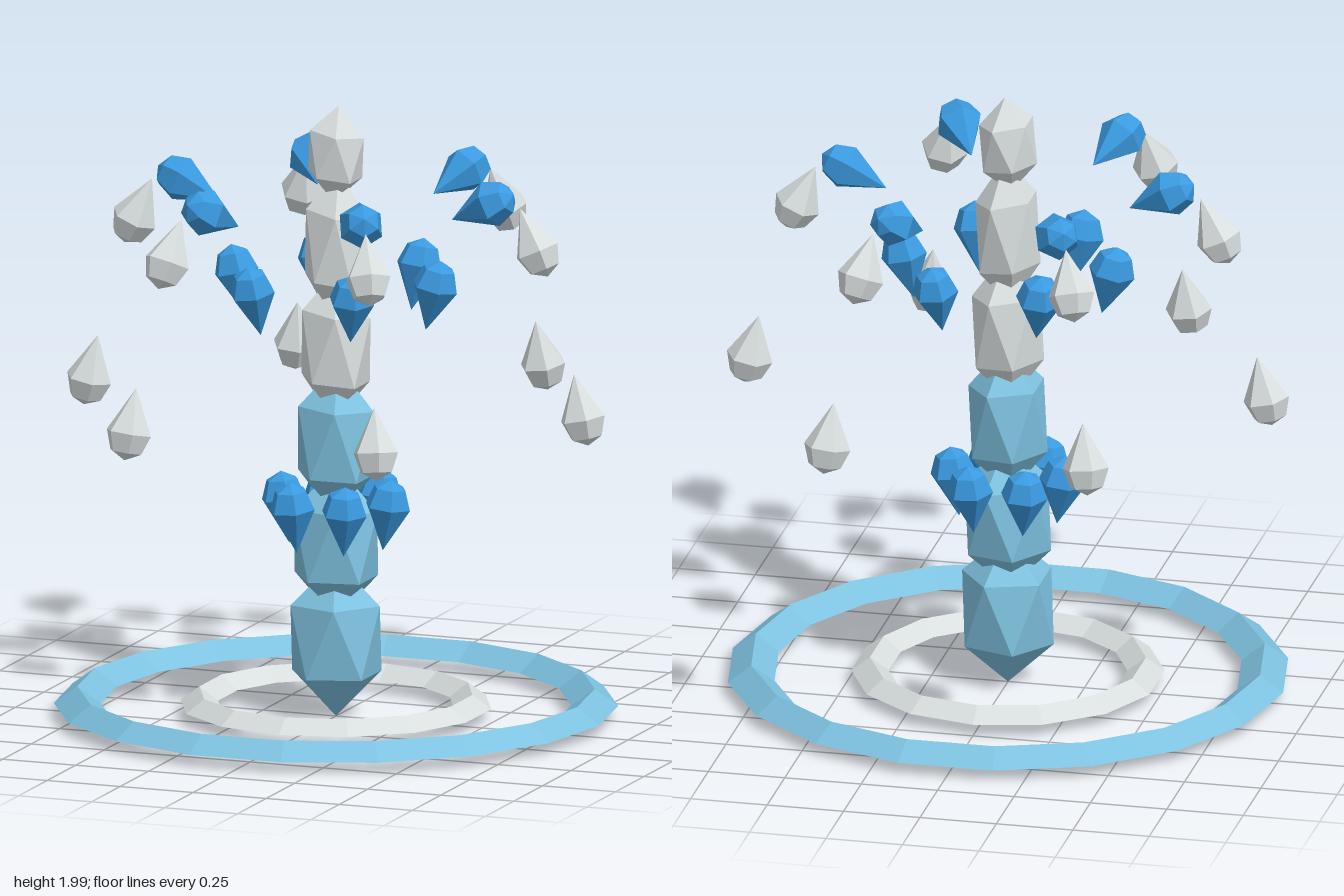
import * as THREE from 'three';

const material = (name, color) => {
  const m = new THREE.MeshStandardMaterial({ color, flatShading: true });
  m.name = name;
  return m;
};

export function createModel() {
  const model = new THREE.Group();
  model.name = 'fountain';
  const water = material('light blue water', 0x7ec2e0);
  const foam = material('pale foam', 0xd8dede);
  const spray = material('bright blue spray', 0x3a9ae0);

  const add = (parent, name, geometry, mat) => {
    const mesh = new THREE.Mesh(geometry, mat);
    mesh.name = name;
    parent.add(mesh);
    return mesh;
  };

  // Ripple rings: triangular ridges with a flat underside
  const ripple = (name, outer, crest, inner, top, sides, start, mat) => {
    const profile = [[outer, 0.045], [crest, top], [inner, 0.045], [outer, 0.045]]
      .map(([x, y]) => new THREE.Vector2(x, y));
    add(model, name, new THREE.LatheGeometry(profile, sides, start), mat);
  };
  ripple('outerRipple', 0.9, 0.825, 0.75, 0.1, 18, Math.PI / 2, water);
  ripple('innerRipple', 0.5, 0.44, 0.38, 0.09, 14, 0, foam);

  // Central jet: stacked, stretched icosahedra [centre y, half height, ring radius]
  const jet = new THREE.Group();
  jet.name = 'centralJet';
  model.add(jet);
  [
    [0.262, 0.255, 0.15], [0.575, 0.25, 0.14], [0.905, 0.25, 0.127],
    [1.215, 0.25, 0.115], [1.54, 0.25, 0.103], [1.84, 0.16, 0.091],
  ].forEach(([y, h, r], i) => {
    const g = new THREE.IcosahedronGeometry(1, 0);
    g.rotateZ(-0.5536 - 0.02 * i); // a corner points up, leaning slightly
    g.scale(r / 0.894, h, r / 0.894);
    add(jet, 'jetSegment' + (i + 1), g, i < 3 ? water : foam).position.y = y;
  });

  // Droplet: six-sided teardrop with its tail at the origin and its bulb up
  const dropProfile = [[0, 0], [0.076, 0.145], [0.053, 0.207], [0, 0.234]]
    .map(([x, y]) => new THREE.Vector2(x, y));
  const dropGeometry = new THREE.LatheGeometry(dropProfile, 6, Math.PI / 2);

  // Six arcs of droplets: [tail radius, tail height, heading from straight up in degrees, material]
  const arc = [
    [0.16, 0.56, 7, spray], [0.307, 1.29, 13, spray], [0.397, 1.656, 65, spray],
    [0.63, 1.71, 156, foam], [0.815, 1.185, 168, foam],
  ];
  for (let i = 0; i < 6; i++) {
    const arm = new THREE.Group();
    arm.name = 'sprayArc' + (i + 1);
    arm.rotation.y = (i * Math.PI) / 3;
    model.add(arm);
    arc.forEach(([r, y, heading, mat], k) => {
      const drop = add(arm, 'droplet' + (k + 1), dropGeometry, mat);
      drop.position.set(r, y, 0);
      drop.rotation.z = -THREE.MathUtils.degToRad(heading);
    });
  }
  return model;
}
